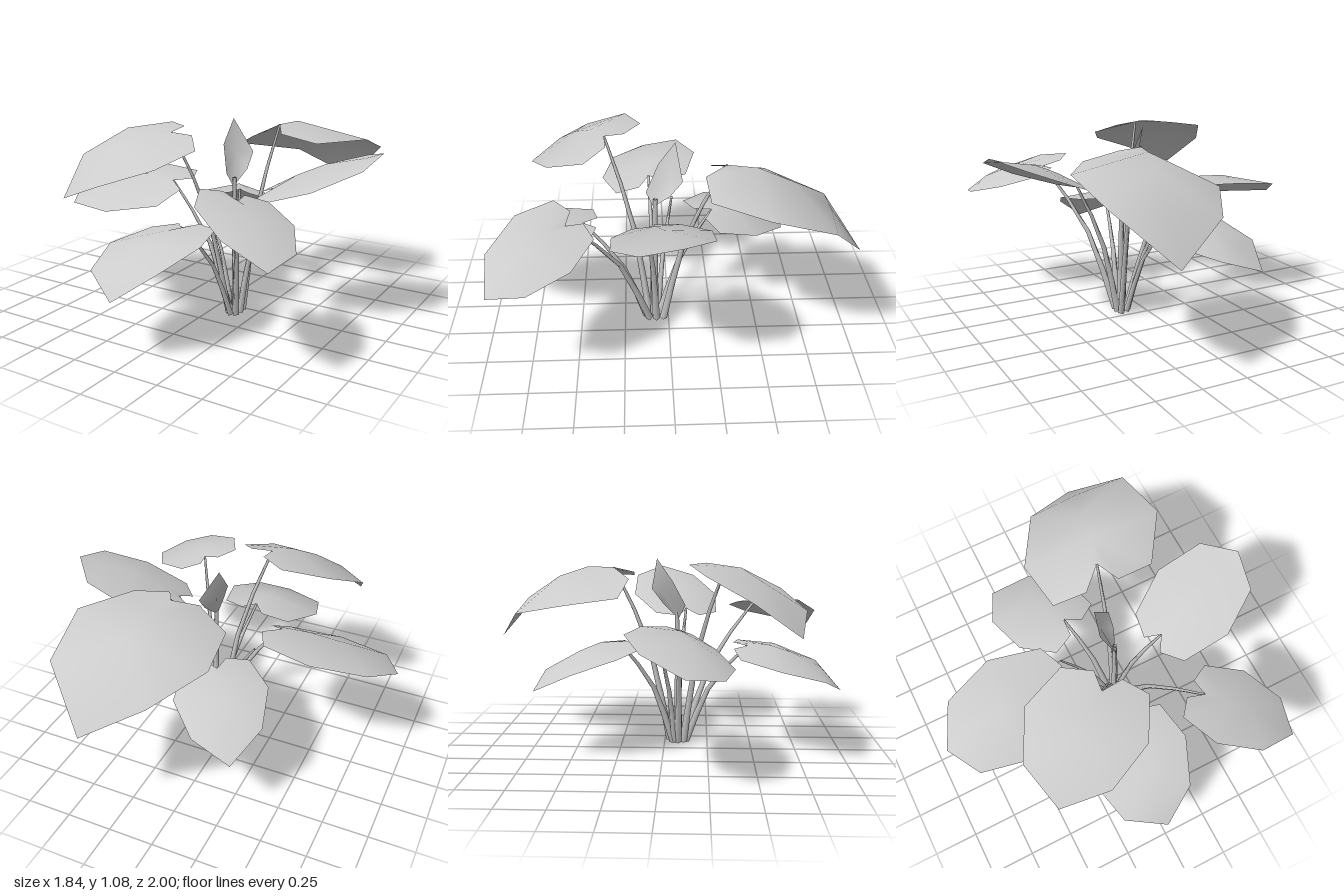
import * as THREE from 'three';

const grey = new THREE.MeshStandardMaterial({ color: 0xcccccc, side: THREE.DoubleSide });
grey.name = 'plain grey';

const vec = (p) => new THREE.Vector3(...p);

function addMesh(group, name, geo) {
  const mesh = new THREE.Mesh(geo, grey);
  mesh.name = name;
  group.add(mesh);
}

// Smooth surface made of fans; each fan is a centre followed by its edge points
function addFans(group, name, points, fans) {
  const geo = new THREE.BufferGeometry().setFromPoints(points);
  geo.setIndex(fans.flatMap(([c, ...edge]) => edge.slice(1).flatMap((p, i) => [c, edge[i], p])));
  geo.computeVertexNormals();
  addMesh(group, name, geo);
}

// Four-sided stem that rises steeply, bends outward and tapers
function addStem(group, name, [bx, bz], tip, r0, r1) {
  const start = new THREE.Vector3(bx, 0.015, bz);
  const bend = start.clone().lerp(tip, 0.4);
  bend.y = THREE.MathUtils.lerp(start.y, tip.y, 0.58);
  const curve = new THREE.CatmullRomCurve3([start, bend, tip]);
  const segments = 4, sides = 4;
  const geo = new THREE.TubeGeometry(curve, segments, 1, sides);
  const pos = geo.attributes.position, v = new THREE.Vector3();
  for (let i = 0; i < pos.count; i++) {
    const t = Math.floor(i / (sides + 1)) / segments;
    const c = curve.getPointAt(t);
    v.fromBufferAttribute(pos, i).sub(c).multiplyScalar(THREE.MathUtils.lerp(r0, r1, t)).add(c);
    pos.setXYZ(i, v.x, Math.max(v.y, 0), v.z);
  }
  addMesh(group, name, geo);
}

// Half of the heart-shaped rim (shoulder, widest, inner, lobe): share of the
// way to the tip, share of the way to the widest point, share of the arch
const halfRim = [[0.54, 0.72, 1], [0, 1, 0], [-0.32, 0.72, -1.4], [-0.22, 0.23, -1]];

// Leaf laid out from its stalk joint, tip and widest point on each side;
// arch raises the middle and lowers the lobes
function addLeaf(plant, name, base, stalkAt, tipAt, wideA, wideB, arch) {
  const leaf = new THREE.Group();
  leaf.name = name;
  const stalk = vec(stalkAt), tip = vec(tipAt);
  const axis = tip.clone().sub(stalk);
  const sides = [wideA, wideB].map((w) => vec(w).sub(stalk));
  const place = (side, along, across, rise) => {
    const p = stalk.clone().addScaledVector(axis, along).addScaledVector(side, across);
    p.y += rise;
    return p;
  };
  const [a, b] = sides.map((side) => halfRim.map(([u, v, r]) => place(side, u, v, r * arch)));

  // Midrib: two raised points and the fold where the tip bends down
  const both = sides[0].clone().add(sides[1]);
  const inner = place(both, 0.17, 0.08, 0.04 + 0.5 * arch);
  const outer = place(both, 0.44, 0.05, 0.045 + 0.9 * arch);
  const fold = a[0].clone().lerp(b[0], 0.5);
  fold.y += 0.025;

  // Points 0-4: midrib and ends, 5-8: first side, 9-12: second side
  addFans(leaf, 'leafBlade', [inner, outer, fold, tip, stalk, ...a, ...b], [
    [0, 1, 6, 7, 8, 4, 12, 11, 10, 1],
    [1, 10, 9, 2, 5, 6],
    [2, 9, 3, 5],
  ]);
  addStem(leaf, 'leafStem', base, stalk, 0.021, 0.007);
  plant.add(leaf);
}

export function createModel() {
  const plant = new THREE.Group();
  plant.name = 'plant';

  addLeaf(plant, 'largeBackLeaf', [0.155, 0.03], [0.2, 1.03, -0.3], [0.37, 0.6, -1],
    [-0.12, 0.84, -0.545], [0.66, 0.96, -0.47], 0.11);
  addLeaf(plant, 'smallBackLeaf', [0.11, 0.05], [-0.03, 0.63, -0.25], [-0.3, 0.4, -0.69],
    [-0.32, 0.58, -0.23], [0.115, 0.54, -0.49], 0.035);
  addLeaf(plant, 'leftLeaf', [0.16, 0.07], [0.38, 0.77, 0.12], [0.915, 0.99, -0.045],
    [0.53, 0.84, -0.2], [0.68, 0.83, 0.3], 0);
  addLeaf(plant, 'frontLeftLeaf', [0.155, 0.11], [0.41, 0.81, 0.53], [0.77, 0.63, 0.9],
    [0.69, 0.72, 0.49], [0.33, 0.83, 0.79], 0.015);
  addLeaf(plant, 'rightLeaf', [0.1, 0.08], [-0.26, 0.73, 0.1], [-0.92, 0.6, 0.135],
    [-0.53, 0.575, 0.38], [-0.52, 0.745, -0.18], 0.025);
  addLeaf(plant, 'frontRightLeaf', [0.11, 0.11], [-0.1, 1.06, 0.34], [-0.53, 0.73, 0.71],
    [0.005, 0.93, 0.65], [-0.47, 1.03, 0.23], 0.05);
  addLeaf(plant, 'lowFrontLeaf', [0.13, 0.125], [0.04, 0.6, 0.47], [-0.015, 0.36, 0.995],
    [0.265, 0.58, 0.64], [-0.29, 0.51, 0.64], 0.04);

  // Bare stem without a leaf
  addStem(plant, 'bareStem', [0.1, 0.06], vec([-0.155, 0.65, -0.03]), 0.018, 0.006);

  // Young folded leaf standing on the middle stem
  const bud = new THREE.Group();
  bud.name = 'youngLeaf';
  addFans(bud, 'youngLeafBlade', [
    [0.075, 0.91, -0.02], [0.05, 1.09, -0.04], [0.04, 0.96, 0.05], [0.1, 0.82, 0.12],
    [0.12, 0.74, 0.08], [0.155, 0.825, -0.01], [0.155, 0.91, -0.075],
  ].map(vec), [[0, 1, 2, 3, 4, 5, 6, 1]]);
  addStem(bud, 'youngLeafStem', [0.135, 0.08], vec([0.12, 0.79, 0.07]), 0.024, 0.012);
  plant.add(bud);

  return plant;
}
